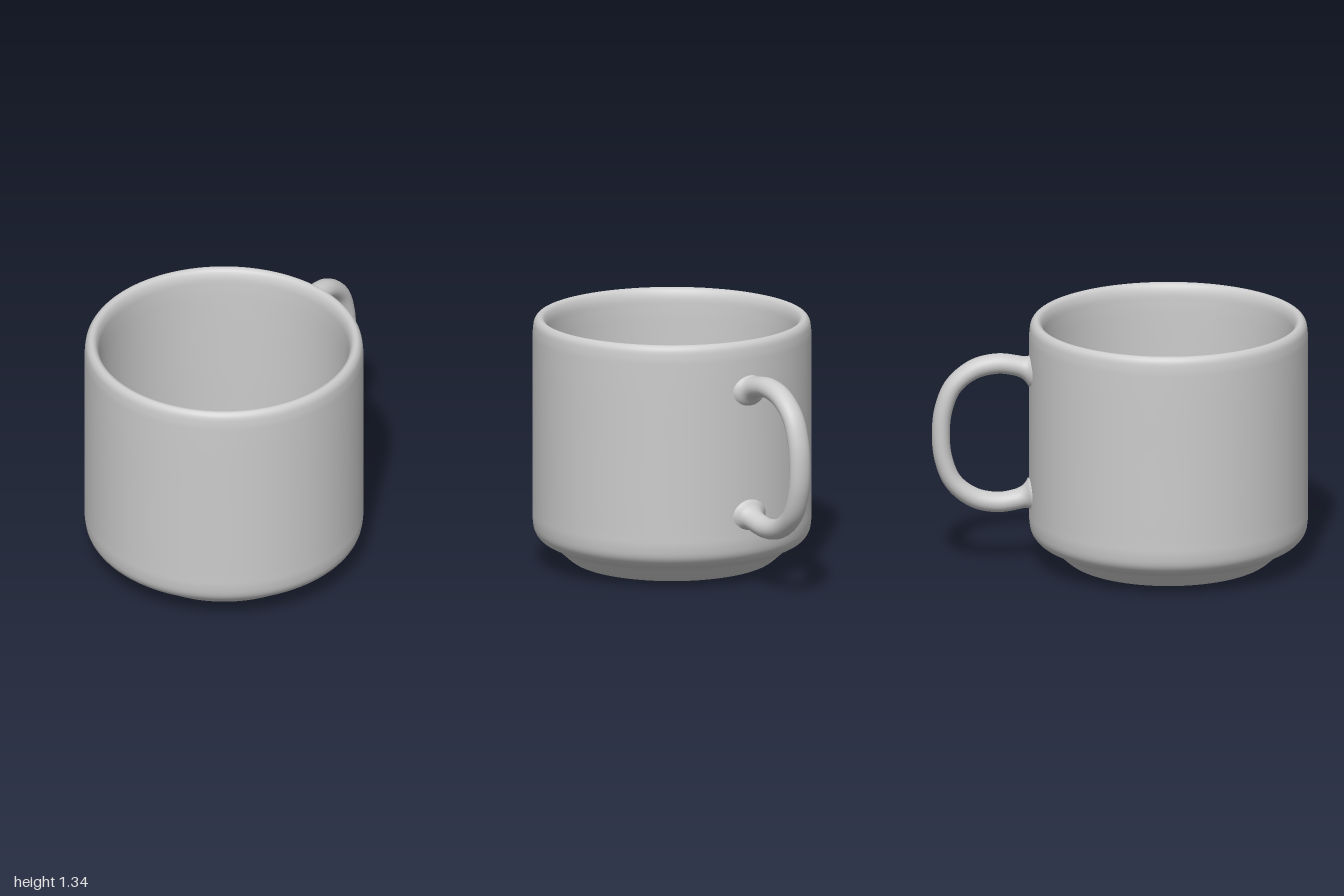
import * as THREE from 'three';

const CUP_Z = 0.26;   // cup axis, pushed forward to balance the handle
const MID_Y = 0.7325; // the handle mirrors about this height

// Smooth curve through [a, b] pairs
const smooth = (pts, make) => new THREE.CatmullRomCurve3(pts.map(make));

// Cup wall, foot and interior as one turned profile
function createCup(material) {
  const profile = smooth([
    // recessed underside and foot ring
    [0, 0.045], [0.2, 0.045], [0.33, 0.045], [0.36, 0.038], [0.378, 0.014], [0.405, 0.002],
    [0.44, 0], [0.48, 0.003],
    // flared shoulder
    [0.53, 0.02], [0.58, 0.06], [0.62, 0.095], [0.66, 0.116], [0.7, 0.14], [0.728, 0.178], [0.739, 0.235],
    // outer wall
    [0.74, 0.32], [0.74, 0.75], [0.74, 1.2], [0.738, 1.27], [0.729, 1.315],
    // rounded lip
    [0.708, 1.335], [0.685, 1.328], [0.668, 1.295], [0.662, 1.23],
    // inner wall and floor
    [0.66, 1.1], [0.66, 0.7], [0.66, 0.3], [0.648, 0.22], [0.61, 0.17], [0.54, 0.145],
    [0.42, 0.13], [0.2, 0.125], [0, 0.125],
  ], ([r, y]) => new THREE.Vector3(r, y, 0));
  const points = profile.getPoints(160).map(p => new THREE.Vector2(Math.max(p.x, 0), p.y));
  points[0].x = points[points.length - 1].x = 0;
  const cup = new THREE.Mesh(new THREE.LatheGeometry(points, 128), material);
  cup.name = 'cup';
  cup.position.z = CUP_Z;
  return cup;
}

// D-shaped handle: a tube, slightly wider than thick, flaring where it meets the wall
function createHandle(material) {
  const half = [[-0.435, 1.07], [-0.5, 1.088], [-0.56, 1.104], [-0.65, 1.115], [-0.775, 1.087],
    [-0.885, 0.998], [-0.938, 0.87]];
  const mirrored = half.map(([z, y]) => [z, 2 * MID_Y - y]).reverse();
  const path = smooth([...half, [-0.952, MID_Y], ...mirrored], ([z, y]) => new THREE.Vector3(0, y, z));
  const rings = 120, sides = 28;
  const geometry = new THREE.TubeGeometry(path, rings, 0.05, sides, false);
  const pos = geometry.attributes.position;
  const v = new THREE.Vector3();
  for (let i = 0; i < pos.count; i++) {
    const centre = path.getPointAt(Math.floor(i / (sides + 1)) / rings);
    const gap = Math.max(0, -0.475 - centre.z);
    const flare = 1 + 0.75 * Math.exp(-gap / 0.018);
    const thickness = 0.96 + 0.12 * THREE.MathUtils.smoothstep(centre.z, -0.95, -0.7);
    v.fromBufferAttribute(pos, i).sub(centre);
    v.set(v.x * 1.2 * flare, v.y * thickness * flare, v.z * thickness);
    v.add(centre);
    pos.setXYZ(i, v.x, v.y, v.z);
  }
  geometry.computeVertexNormals();
  // Share normals across the seam of each ring
  const n = geometry.attributes.normal;
  for (let r = 0; r <= rings; r++) {
    const a = r * (sides + 1), b = a + sides;
    v.set(n.getX(a) + n.getX(b), n.getY(a) + n.getY(b), n.getZ(a) + n.getZ(b)).normalize();
    n.setXYZ(a, v.x, v.y, v.z);
    n.setXYZ(b, v.x, v.y, v.z);
  }
  const handle = new THREE.Mesh(geometry, material);
  handle.name = 'handle';
  return handle;
}

export function createModel() {
  const material = new THREE.MeshStandardMaterial({ color: 0xcccccc });
  const mug = new THREE.Group();
  mug.name = 'mug';
  mug.add(createCup(material), createHandle(material));
  return mug;
}
